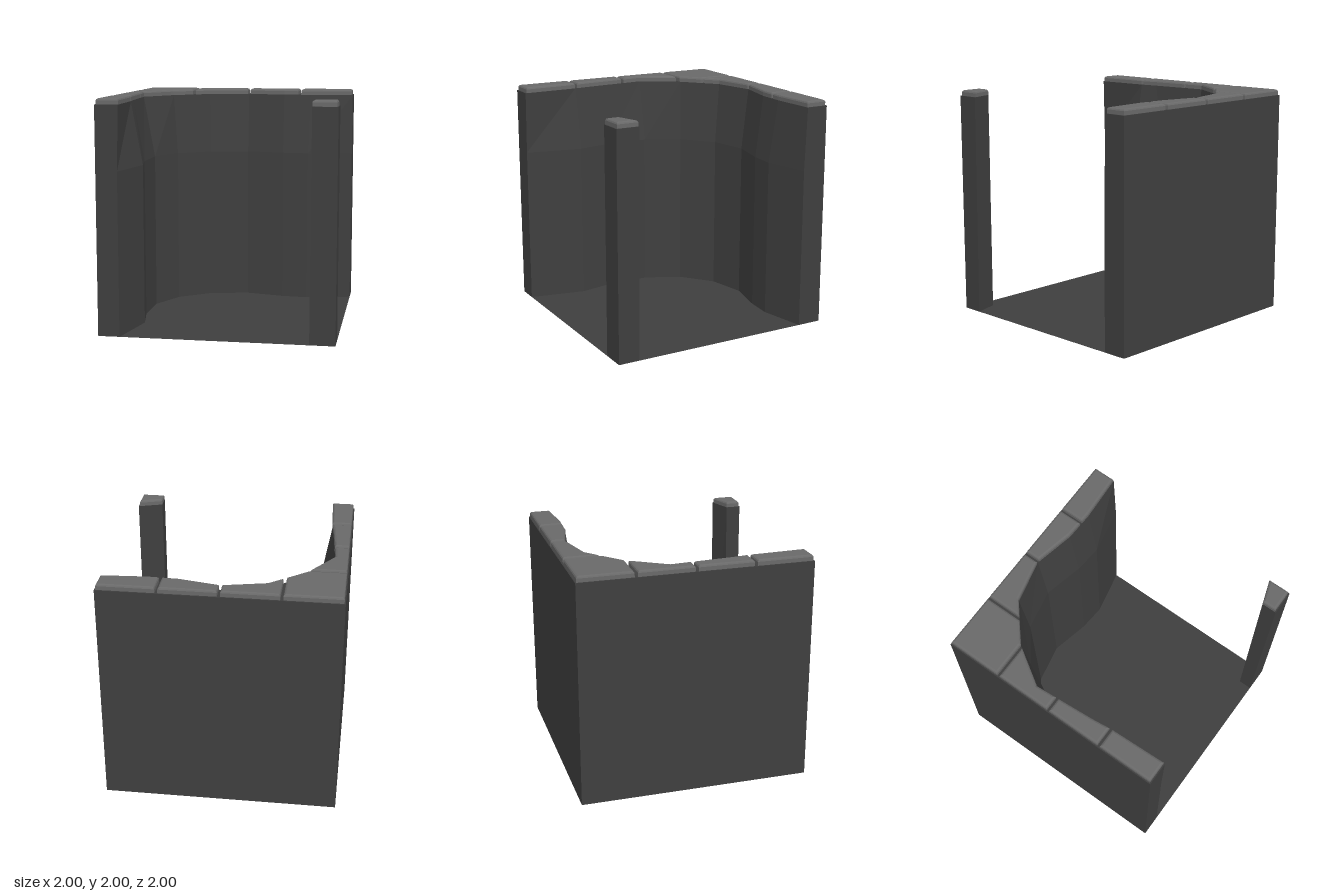
import * as THREE from 'three';

const rock = new THREE.MeshStandardMaterial({ color: 0x3f3f3f, side: THREE.DoubleSide });
rock.name = 'dark rock';
const paving = new THREE.MeshStandardMaterial({ color: 0x696969, side: THREE.DoubleSide });
paving.name = 'paving stone';

// Outlines are [x, z] points, counter-clockwise seen from above.
const rimTop = [[-0.8, 1], [-0.82, 0.5], [-0.84, 0.33], [-0.88, -0.2], [-0.67, -0.53],
  [-0.37, -0.78], [0, -0.865], [0.35, -0.79], [0.6, -0.78], [1, -0.805]];
const rimFoot = [[-0.815, 1], [-0.72, 0.5], [-0.78, 0.2], [-0.78, -0.2], [-0.63, -0.51],
  [-0.35, -0.73], [0, -0.8], [0.35, -0.72], [0.59, -0.7], [1, -0.785]];
const outerCorners = [[1, -1], [-1, -1], [-1, 1]];
const postTop = [[0.79, 1], [1, 1], [1, 0.8], [0.79, 0.87]];
const postFoot = [[0.785, 1], [1, 1], [1, 0.815], [0.785, 0.88]];

const WALL_TOP = 1.95;

// Flat-faced mesh through stacked outlines; the last outline is capped.
function loft(name, material, levels) {
  const pos = [];
  const put = (outline, i, y) => pos.push(outline[i][0], y, outline[i][1]);
  for (let k = 0; k + 1 < levels.length; k++) {
    const [lo, y0] = levels[k], [hi, y1] = levels[k + 1];
    for (let i = 0; i < lo.length; i++) {
      const j = (i + 1) % lo.length;
      put(lo, i, y0); put(lo, j, y0); put(hi, j, y1);
      put(lo, i, y0); put(hi, j, y1); put(hi, i, y1);
    }
  }
  const [cap, y] = levels[levels.length - 1];
  const flat = cap.map(([x, z]) => new THREE.Vector2(x, -z));
  for (const tri of THREE.ShapeUtils.triangulateShape(flat, [])) {
    for (const i of tri) put(cap, i, y);
  }
  const geometry = new THREE.BufferGeometry();
  geometry.setAttribute('position', new THREE.Float32BufferAttribute(pos, 3));
  geometry.computeVertexNormals();
  const mesh = new THREE.Mesh(geometry, material);
  mesh.name = name;
  return mesh;
}

// Keep the part of an outline where sign * (coordinate - limit) >= 0.
function clip(outline, axis, sign, limit) {
  const result = [];
  outline.forEach((a, i) => {
    const b = outline[(i + 1) % outline.length];
    const da = sign * (a[axis] - limit), db = sign * (b[axis] - limit);
    if (da >= 0) result.push(a);
    if (da * db < 0) {
      const t = da / (da - db);
      result.push([a[0] + (b[0] - a[0]) * t, a[1] + (b[1] - a[1]) * t]);
    }
  });
  return result;
}

function clipToCell(outline, [x0, x1, z0, z1]) {
  let p = clip(outline, 0, 1, x0);
  p = clip(p, 0, -1, x1);
  p = clip(p, 1, 1, z0);
  p = clip(p, 1, -1, z1);
  // drop slivers so the bevel stays clean
  return p.filter((a, i) => {
    const b = p[(i + p.length - 1) % p.length];
    return Math.hypot(a[0] - b[0], a[1] - b[1]) > 0.02;
  });
}

// Mitred inward offset of an outline.
function inset(outline, r) {
  const n = outline.length;
  const inward = (a, b) => {
    const dx = b[0] - a[0], dz = b[1] - a[1], len = Math.hypot(dx, dz);
    return [dz / len, -dx / len];
  };
  return outline.map((p, i) => {
    const u = inward(outline[(i + n - 1) % n], p);
    const v = inward(p, outline[(i + 1) % n]);
    const s = r / Math.max(0.4, 1 + u[0] * v[0] + u[1] * v[1]);
    return [p[0] + (u[0] + v[0]) * s, p[1] + (u[1] + v[1]) * s];
  });
}

// Bevelled slab lying on top of a wall.
function slab(name, outline) {
  return loft(name, paving, [
    [outline, WALL_TOP], [outline, 1.983], [inset(outline, 0.006), 1.994], [inset(outline, 0.018), 2],
  ]);
}

export function createModel() {
  const model = new THREE.Group();
  model.name = 'pitCornerTile';

  // L-shaped rock wall: upright below, leaning back near the rim, open underneath
  const wallTop = [...rimTop, ...outerCorners];
  const wallFoot = [...rimFoot, ...outerCorners];
  model.add(loft('cornerWall', rock, [[wallFoot, 0], [wallFoot, 1.4], [wallTop, WALL_TOP]]));

  // Corner post
  model.add(loft('cornerPost', rock, [[postFoot, 0], [postTop, WALL_TOP]]));

  // Pit floor between the wall and the post
  const floor = [rimFoot[0], postFoot[0], postFoot[3], postFoot[2], ...rimFoot.slice(1).reverse()];
  model.add(loft('pitFloor', rock, [[floor, 0]]));

  // Paving slabs: the corner one, then three along each arm
  const g = 0.0125, edge = 0.99;
  const slabs = new THREE.Group();
  slabs.name = 'pavingSlabs';
  slabs.add(slab('cornerSlab', clipToCell(wallTop, [-edge, -0.5 - g, -edge, -0.51 - g])));
  for (let i = 0; i < 3; i++) {
    const a = -0.5 + i * 0.5 + g, b = Math.min(i * 0.5 - g, edge);
    const end = i === 2 ? edge : b;
    slabs.add(slab('backSlab' + (i + 1), clipToCell(wallTop, [a, end, -edge, -0.4])));
    slabs.add(slab('sideSlab' + (i + 1),
      clipToCell(wallTop, [-edge, -0.4, a - 0.008, i === 2 ? edge : end - 0.008])));
  }
  slabs.add(slab('postSlab', clipToCell(postTop, [0, edge, 0, edge])));
  model.add(slabs);

  return model;
}
